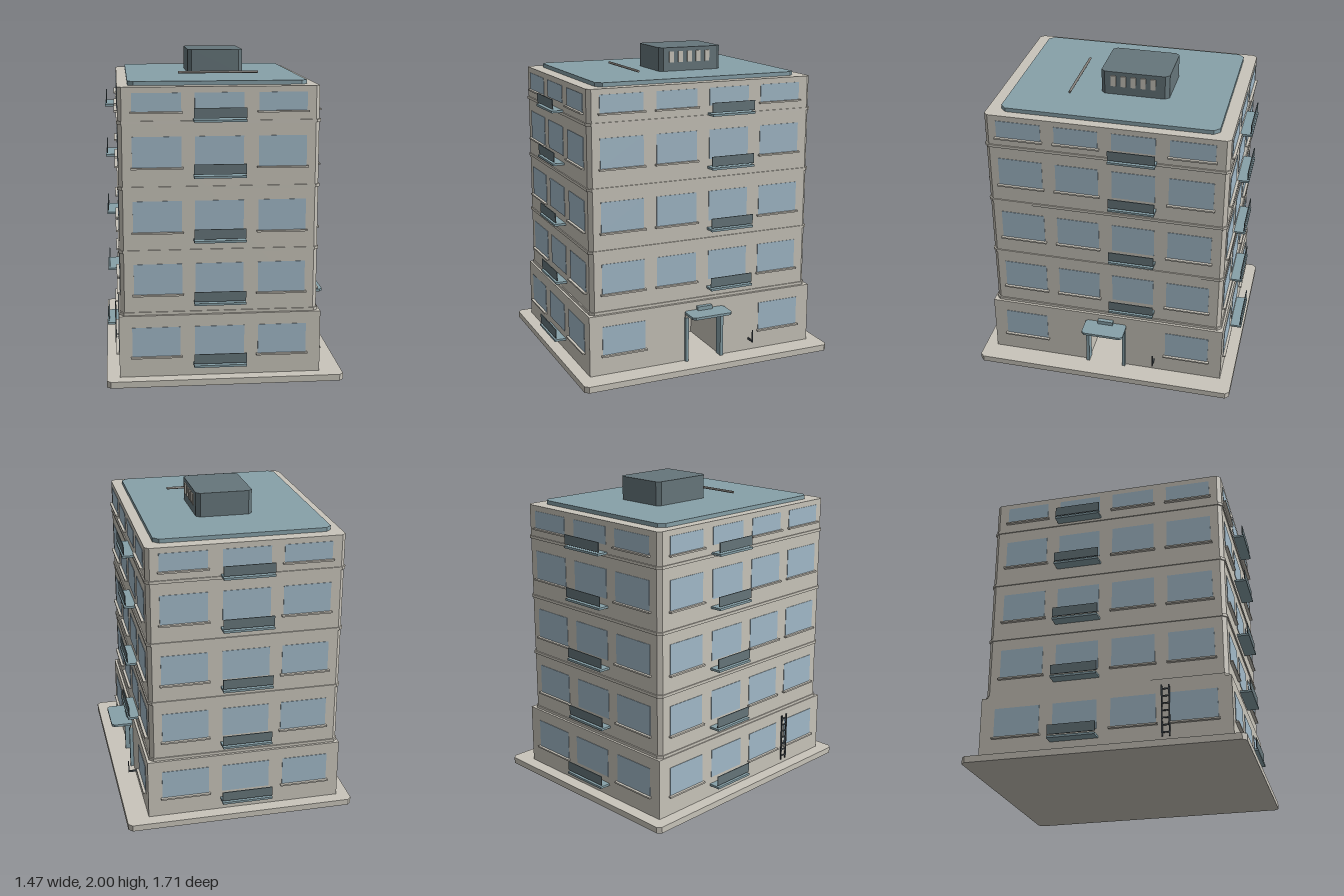
import * as THREE from 'three';

const mat = (name, color) => {
  const m = new THREE.MeshStandardMaterial({ color });
  m.name = name;
  return m;
};

export function createModel() {
  const stone = mat('stone', 0xc9c5bb);
  const glass = mat('glass', 0xa3bbca);
  const teal = mat('teal', 0x87a1a9);
  const slate = mat('slate', 0x66767b);
  const iron = mat('iron', 0x4c5459);
  const pipe = mat('pipe', 0x827e79);
  const building = new THREE.Group();
  building.name = 'apartmentBuilding';

  const add = (parent, name, geometry, material) => {
    const mesh = new THREE.Mesh(geometry, material);
    mesh.name = name;
    parent.add(mesh);
    return mesh;
  };
  // Box given by its limits on each axis
  const box = (parent, name, material, x0, x1, y0, y1, z0, z1) => {
    const mesh = add(parent, name, new THREE.BoxGeometry(x1 - x0, y1 - y0, z1 - z0), material);
    mesh.position.set((x0 + x1) / 2, (y0 + y1) / 2, (z0 + z1) / 2);
    return mesh;
  };
  // Upright block with bevelled vertical corners
  const block = (name, material, x0, x1, y0, y1, z0, z1, c) => {
    const s = new THREE.Shape([
      [x0 + c, -z1], [x1 - c, -z1], [x1, c - z1], [x1, -z0 - c],
      [x1 - c, -z0], [x0 + c, -z0], [x0, -z0 - c], [x0, c - z1],
    ].map(([x, y]) => new THREE.Vector2(x, y)));
    const g = new THREE.ExtrudeGeometry(s, { depth: y1 - y0, bevelEnabled: false });
    g.rotateX(-Math.PI / 2).translate(0, y0, 0);
    return add(building, name, g, material);
  };

  // Base, and ground floor built around the entrance recess
  block('baseSlab', stone, -0.735, 0.73, 0, 0.04, -0.855, 0.855, 0.025);
  box(building, 'groundFloorCore', stone, -0.655, 0.15, 0.04, 0.43, -0.775, 0.775);
  box(building, 'groundFloorFront', stone, 0.15, 0.59, 0.04, 0.43, 0.12, 0.775);
  box(building, 'groundFloorBack', stone, 0.15, 0.59, 0.04, 0.43, -0.775, -0.12);
  box(building, 'entranceHeader', stone, 0.15, 0.59, 0.335, 0.43, -0.12, 0.12);

  // Upper storeys with string courses
  block('upperStoreys', stone, -0.643, 0.568, 0.43, 1.825, -0.755, 0.755, 0.024);
  for (const y of [0.44, 0.83, 1.22, 1.615]) {
    block('stringCourse', stone, -0.65, 0.575, y - 0.009, y + 0.009, -0.762, 0.762, 0.026);
  }

  // Walls: local x runs along the wall, local z points outward
  const wide = [[-0.56, -0.265], [-0.185, 0.11], [0.2, 0.49]];
  const wideLow = [[-0.575, -0.28], [-0.19, 0.115], [0.2, 0.5]];
  const deep = [[0.4, 0.68], [0.045, 0.315], [-0.31, -0.04], [-0.67, -0.395]];
  const deepLow = [[0.405, 0.69], [0.045, 0.32], [-0.315, -0.04], [-0.685, -0.4]];
  const floors = [[0.17, 0.355], [0.56, 0.75], [0.95, 1.14], [1.345, 1.53], [1.68, 1.79]];
  const walls = [
    { name: 'frontWall', turn: 0, sign: 1, out: 0.755, low: 0.775, bays: wide, lowBays: wideLow, balcony: 1 },
    { name: 'backWall', turn: Math.PI, sign: -1, out: 0.755, low: 0.775, bays: wide, lowBays: wideLow, balcony: 1 },
    { name: 'leftWall', turn: Math.PI / 2, sign: -1, out: 0.568, low: 0.59, bays: deep, lowBays: deepLow, balcony: 2, entrance: true },
    { name: 'rightWall', turn: -Math.PI / 2, sign: 1, out: 0.643, low: 0.655, bays: deep, lowBays: deepLow, balcony: 2 },
  ];
  for (const w of walls) {
    const wall = new THREE.Group();
    wall.name = w.name;
    wall.rotation.y = w.turn;
    building.add(wall);
    floors.forEach(([y0, y1], f) => {
      const out = f ? w.out : w.low;
      (f ? w.bays : w.lowBays).forEach((bay, i) => {
        if (w.entrance && f === 0 && (i === 1 || i === 2)) return;
        const [a, b] = bay.map((v) => v * w.sign).sort((p, q) => p - q);
        box(wall, 'window', glass, a, b, y0, y1, out - 0.004, out + 0.003);
        if (i === w.balcony) {
          const l = a - 0.01, r = b + 0.01;
          box(wall, 'balconySlab', teal, l, r, y0 - 0.058, y0 - 0.044, out - 0.005, out + 0.075);
          box(wall, 'balconyRail', slate, l, r, y0 - 0.035, y0 + 0.026, out + 0.063, out + 0.069);
        } else {
          box(wall, 'windowSill', stone, a - 0.01, b + 0.01, y0 - 0.01, y0, out - 0.005, out + 0.02);
        }
      });
    });
  }

  // Entrance: jambs, lintel and canopy
  for (const s of [-1, 1]) {
    box(building, 'entranceJamb', teal, 0.55, 0.612, 0.04, 0.335, s * 0.123 - 0.01, s * 0.123 + 0.01);
  }
  box(building, 'entranceLintel', stone, 0.57, 0.605, 0.333, 0.357, -0.13, 0.13);
  box(building, 'canopyUnderside', teal, 0.59, 0.66, 0.349, 0.36, -0.105, 0.105);
  block('canopy', teal, 0.585, 0.73, 0.359, 0.375, -0.14, 0.135, 0.018);
  box(building, 'canopyBlock', teal, 0.588, 0.617, 0.374, 0.4, -0.05, 0.05);
  // Small bracket beside the entrance
  box(building, 'bracketArm', iron, 0.588, 0.655, 0.112, 0.124, -0.331, -0.324);
  box(building, 'bracketPost', iron, 0.648, 0.654, 0.112, 0.195, -0.331, -0.324);

  // Wall ladder
  for (const z of [0.36, 0.405]) {
    box(building, 'ladderRail', iron, -0.678, -0.67, 0.08, 0.4, z - 0.004, z + 0.004);
  }
  for (let i = 0; i < 7; i++) {
    const y = 0.105 + i * 0.045;
    box(building, 'ladderRung', iron, -0.677, -0.671, y - 0.004, y + 0.004, 0.36, 0.405);
  }

  // Roof deck, plant room with vents, and pipe
  block('roofDeck', teal, -0.58, 0.505, 1.82, 1.85, -0.675, 0.67, 0.035);
  block('plantRoom', slate, -0.18, 0.175, 1.85, 2, -0.31, 0.12, 0.025);
  for (let i = 0; i < 5; i++) {
    const z = 0.04 - i * 0.0625;
    box(building, 'vent', stone, 0.173, 0.181, 1.905, 1.975, z - 0.016, z + 0.016);
  }
  const rod = add(building, 'roofPipe', new THREE.CylinderGeometry(0.008, 0.008, 0.505, 8), pipe);
  rod.rotation.z = Math.PI / 2;
  rod.position.set(-0.002, 1.871, 0.3);

  return building;
}
